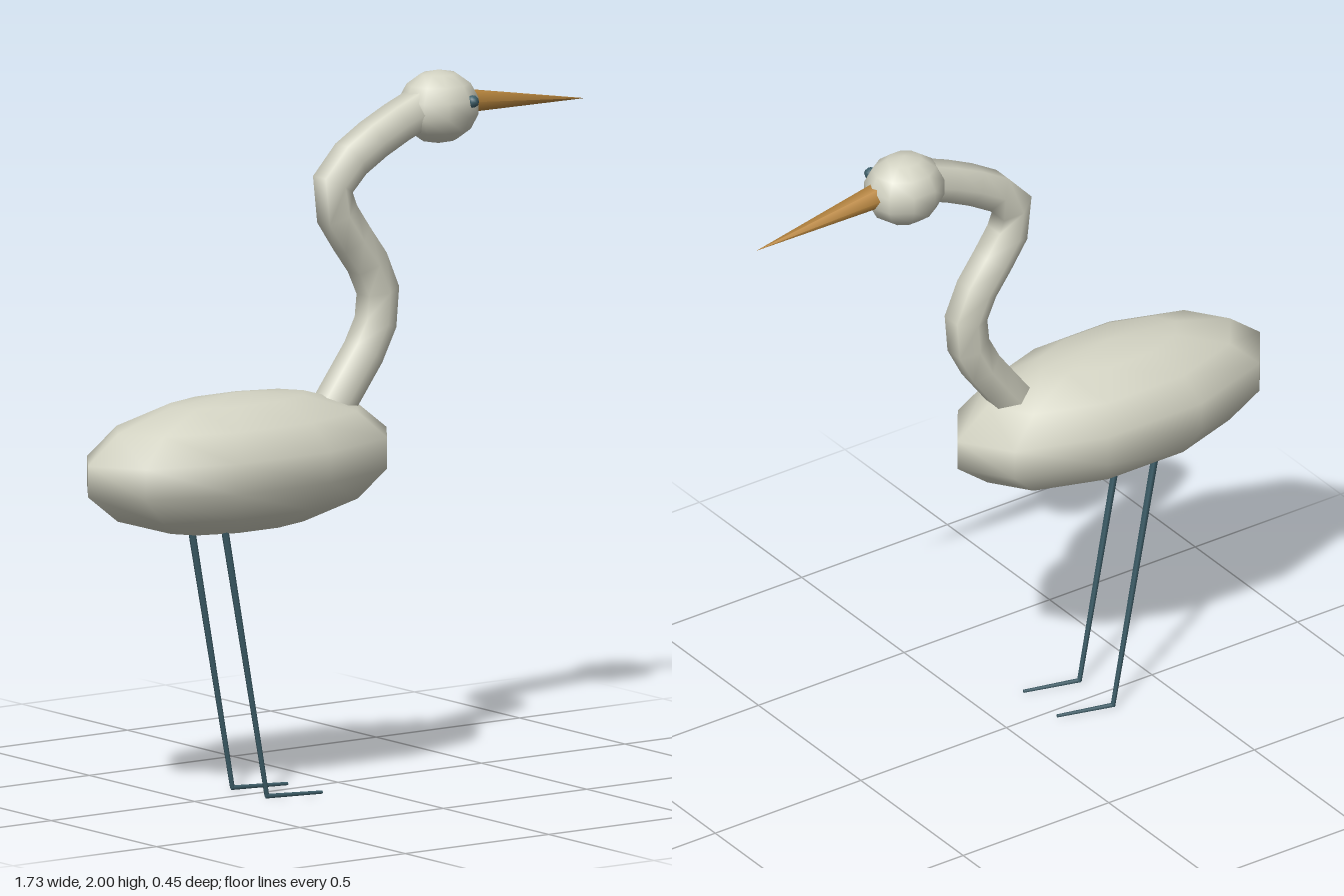
import * as THREE from 'three';

const UP = new THREE.Vector3(0, 1, 0);

function material(name, color) {
  const m = new THREE.MeshStandardMaterial({ color });
  m.name = name;
  return m;
}

export function createModel() {
  const bird = new THREE.Group();
  bird.name = 'wadingBird';
  const plumage = material('pale plumage', 0xd3d3c3);
  const horn = material('ochre beak', 0xbb883f);
  const slate = material('slate legs', 0x3e5f6a);

  const add = (name, geometry, mat) => {
    const mesh = new THREE.Mesh(geometry, mat);
    mesh.name = name;
    bird.add(mesh);
    return mesh;
  };
  const ellipsoid = (name, mat, center, radii, w, h) => {
    const mesh = add(name, new THREE.SphereGeometry(1, w, h), mat);
    mesh.position.set(...center);
    mesh.scale.set(...radii);
    return mesh;
  };
  // Tapered rod running between two points
  const rod = (name, mat, from, to, r0, r1, sides) => {
    const a = new THREE.Vector3(...from);
    const b = new THREE.Vector3(...to);
    const mesh = add(name, new THREE.CylinderGeometry(r1, r0, a.distanceTo(b), sides), mat);
    mesh.position.copy(a).lerp(b, 0.5);
    mesh.quaternion.setFromUnitVectors(UP, b.sub(a).normalize());
    return mesh;
  };

  // Body and head
  ellipsoid('body', plumage, [-0.35, 0.955, -0.002], [0.533, 0.2, 0.243], 10, 7);
  ellipsoid('head', plumage, [0.352, 1.895, -0.002], [0.12, 0.105, 0.107], 10, 7);

  // S-shaped neck
  const neckPath = new THREE.CatmullRomCurve3([
    [-0.02, 1.075], [0.124, 1.285], [0.14, 1.385], [0.106, 1.47],
    [0, 1.62], [-0.024, 1.695], [0.028, 1.765], [0.16, 1.845], [0.29, 1.9],
  ].map(([x, y]) => new THREE.Vector3(x, y, 0)));
  const neck = add('neck', new THREE.TubeGeometry(neckPath, 12, 0.061, 6), plumage);
  neck.material.side = THREE.DoubleSide;

  // Beak and eye
  rod('beak', horn, [0.42, 1.904, 0], [0.86, 1.863, 0], 0.038, 0, 6);
  ellipsoid('eye', slate, [0.405, 1.916, 0.088], [0.018, 0.018, 0.018], 8, 6);

  // Legs and splayed feet
  for (const [side, z] of [['left', 0.082], ['right', -0.082]]) {
    rod(side + 'Leg', slate, [-0.308, 0.008, z], [-0.457, 0.785, z + 0.003], 0.007, 0.011, 5);
    const foot = rod(side + 'Foot', slate, [-0.312, 0.009, z], [-0.146, 0.009, z + 0.042], 0.007, 0.005, 5);
    foot.name = side + 'Foot';
  }
  return bird;
}
